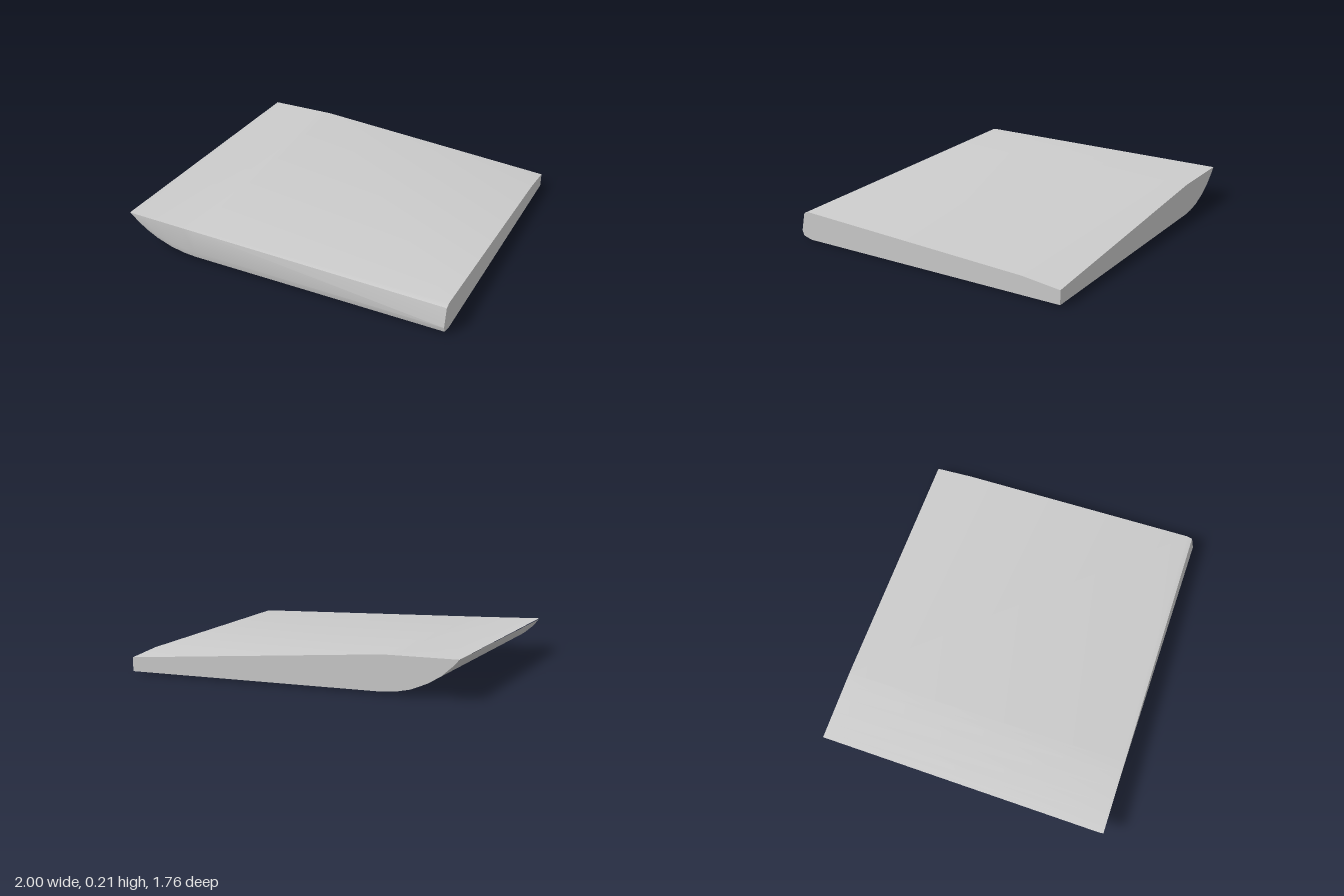
import * as THREE from 'three';
import { toCreasedNormals } from 'three/addons/utils/BufferGeometryUtils.js';

// stations along the hull: [x, height of the underside]
const stations = [
  [-1, 0.21], [-0.96, 0.162], [-0.9, 0.112], [-0.82, 0.066],
  [-0.72, 0.028], [-0.63, 0.01], [-0.55, 0.004], [1, 0],
];

// closed cross-section: up the back, across the top, down the rounded front
function section([x, b]) {
  const u = (x + 1) / 2;                          // 0 at the prow, 1 at the square end
  const k = Math.max(0, (x + 0.55) / 1.55);       // slope of the rear top edge
  const tip = Math.max(0, (-x - 0.55) / 0.45);    // prow is skewed and round-cornered
  const outer = 0.21 - 0.052 * u;
  const rise = f => b + f * (outer - b);
  const points = [
    [-0.88, Math.min(b + 0.008, 0.21)],
    [-0.88, 0.21 - 0.12 * k],
    [-0.88 + 0.23 * k, 0.21 - 0.095 * k],
    [0.84 - 0.02 * u, 0.21 - 0.04 * u],
    [0.853, outer],
    [0.853 + 0.025 * u, rise(0.3)],
    [0.845 + 0.022 * u, rise(0.1)],
    [0.81, b],
  ];
  return points.map(([z, y]) => {
    const skew = 0.03 * Math.max(0, 0.8 - z) / 1.68 + 0.3 * Math.max(0, z - 0.81);
    return [x + skew * tip, y, z];
  });
}

// skin between the cross-sections, plus the flat end
function loft(loops) {
  const n = loops[0].length, index = [];
  for (let s = 0; s < loops.length - 1; s++) {
    for (let i = 0; i < n; i++) {
      const j = (i + 1) % n;
      const a = s * n + i, b = s * n + j, c = b + n, d = a + n;
      index.push(a, b, c, a, c, d);
    }
  }
  const end = (loops.length - 1) * n;
  for (let i = 1; i < n - 1; i++) index.push(end, end + i, end + i + 1);
  const geometry = new THREE.BufferGeometry();
  geometry.setAttribute('position', new THREE.Float32BufferAttribute(loops.flat(2), 3));
  geometry.setIndex(index);
  return toCreasedNormals(geometry, 0.5);
}

export function createModel() {
  const group = new THREE.Group();
  group.name = 'slab';
  const body = new THREE.Mesh(
    loft(stations.map(section)),
    new THREE.MeshStandardMaterial({ color: 0xcccccc }),
  );
  body.name = 'body';
  group.add(body);
  return group;
}
